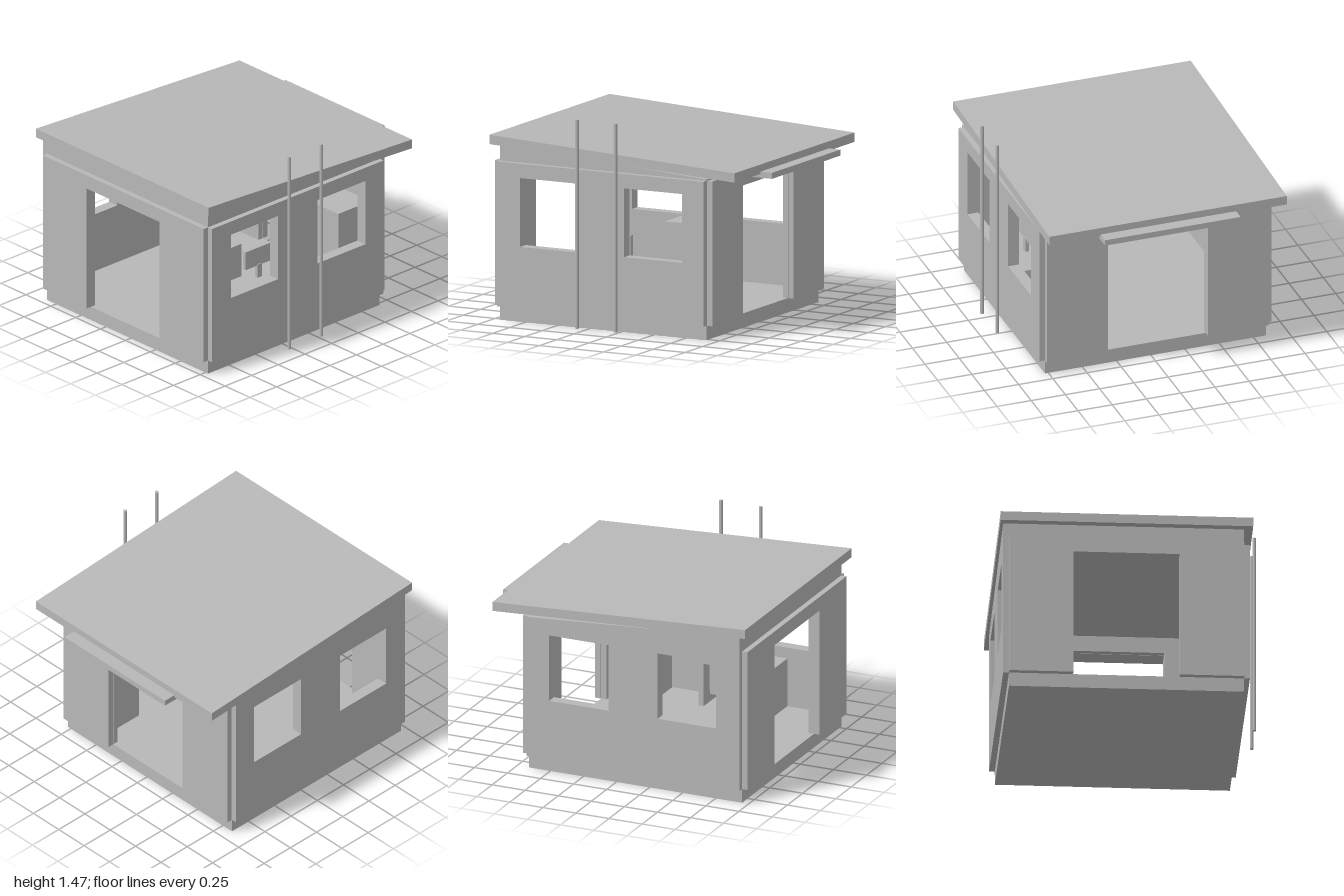
import * as THREE from 'three';

export function createModel() {
  const group = new THREE.Group();
  const grey = new THREE.MeshStandardMaterial({ color: 0xb8b8b8 });
  grey.name = 'plain grey';

  const add = (name, geometry) => {
    const mesh = new THREE.Mesh(geometry, grey);
    mesh.name = name;
    group.add(mesh);
    return mesh;
  };
  // Box given by its limits on each axis
  const box = (name, [x0, x1], [y0, y1], [z0, z1]) =>
    add(name, new THREE.BoxGeometry(x1 - x0, y1 - y0, z1 - z0)
      .translate((x0 + x1) / 2, (y0 + y1) / 2, (z0 + z1) / 2));
  const polygon = (points) => new THREE.Shape(points.map(([a, b]) => new THREE.Vector2(a, b)));
  // Profile in z and y, extruded along x
  const extrudeX = (name, shape, x0, x1) =>
    add(name, new THREE.ExtrudeGeometry(shape, { depth: x1 - x0, bevelEnabled: false })
      .rotateY(-Math.PI / 2).translate(x1, 0, 0));

  const left = 0.775, right = -0.84, front = 0.95, back = -0.66;
  const floor = 0.1, eave = 1.11, frontTop = 1.227, backTop = 1.12, t = 0.04;

  // Floor slab
  box('floorSlab', [right, left], [0, floor], [back, front]);

  // Side walls, each with two windows
  const sideWall = (name, x0, x1, topFront, topBack) => {
    const shape = polygon([[back, floor], [front, floor], [front, topFront], [back, topBack]]);
    for (const [z0, z1] of [[-0.49, -0.04], [0.33, 0.77]]) {
      shape.holes.push(polygon([[z0, 0.53], [z0, 1.01], [z1, 1.01], [z1, 0.53]]));
    }
    extrudeX(name, shape, x0, x1);
  };
  sideWall('leftInnerWall', left - t, left, frontTop, backTop);
  sideWall('leftCladding', left, left + t, eave, eave);
  sideWall('rightInnerWall', right, right + t, frontTop, backTop);
  sideWall('rightCladding', right - t, right, frontTop, backTop);

  // Front and back walls, each with a wide doorway
  const endWall = (name, z0, top, x0, x1) => {
    const shape = polygon([[x0, floor], [-0.4, floor], [-0.4, 1.01], [0.33, 1.01],
      [0.33, floor], [x1, floor], [x1, top], [x0, top]]);
    add(name, new THREE.ExtrudeGeometry(shape, { depth: t, bevelEnabled: false }).translate(0, 0, z0));
  };
  endWall('frontInnerWall', front - t, frontTop, right + t, left - t);
  endWall('frontCladding', front, eave, right, left);
  endWall('backInnerWall', back, backTop, right + t, left - t);
  endWall('backCladding', back - t - 0.005, eave, right, left);

  // Sloping roof and the canopy over the back doorway
  extrudeX('roof', polygon([[-0.91, 1.13], [1, 1.23], [1, 1.295], [-0.91, 1.195]]), -0.9, 0.835);
  box('backCanopy', [-0.53, 0.46], [1.103, 1.145], [-1, back]);

  // Thin poles beside the left wall
  for (const z of [0.29, -0.01]) {
    add('pole', new THREE.CylinderGeometry(0.013, 0.013, 1.455, 12).translate(0.885, 0.7425, z));
  }

  // Desk with end panels
  box('deskTop', [0.495, 0.735], [0.41, 0.45], [0, 0.56]);
  for (const z of [0, 0.52]) box('deskPanel', [0.495, 0.735], [floor, 0.41], [z, z + 0.04]);

  // Screen on its stand
  box('screen', [0.55, 0.575], [0.54, 0.675], [0.155, 0.41]);
  box('screenStand', [0.555, 0.58], [0.45, 0.55], [0.26, 0.305]);

  // Chair facing the desk
  box('chairSeat', [0.275, 0.46], [0.29, 0.33], [0.19, 0.37]);
  box('chairBack', [0.265, 0.3], [0.325, 0.575], [0.19, 0.37]);
  box('chairPost', [0.35, 0.385], [floor, 0.29], [0.265, 0.3]);

  // Cabinet in the back corner
  box('cabinet', [0.44, 0.735], [floor, 0.79], [-0.61, -0.31]);

  return group;
}
